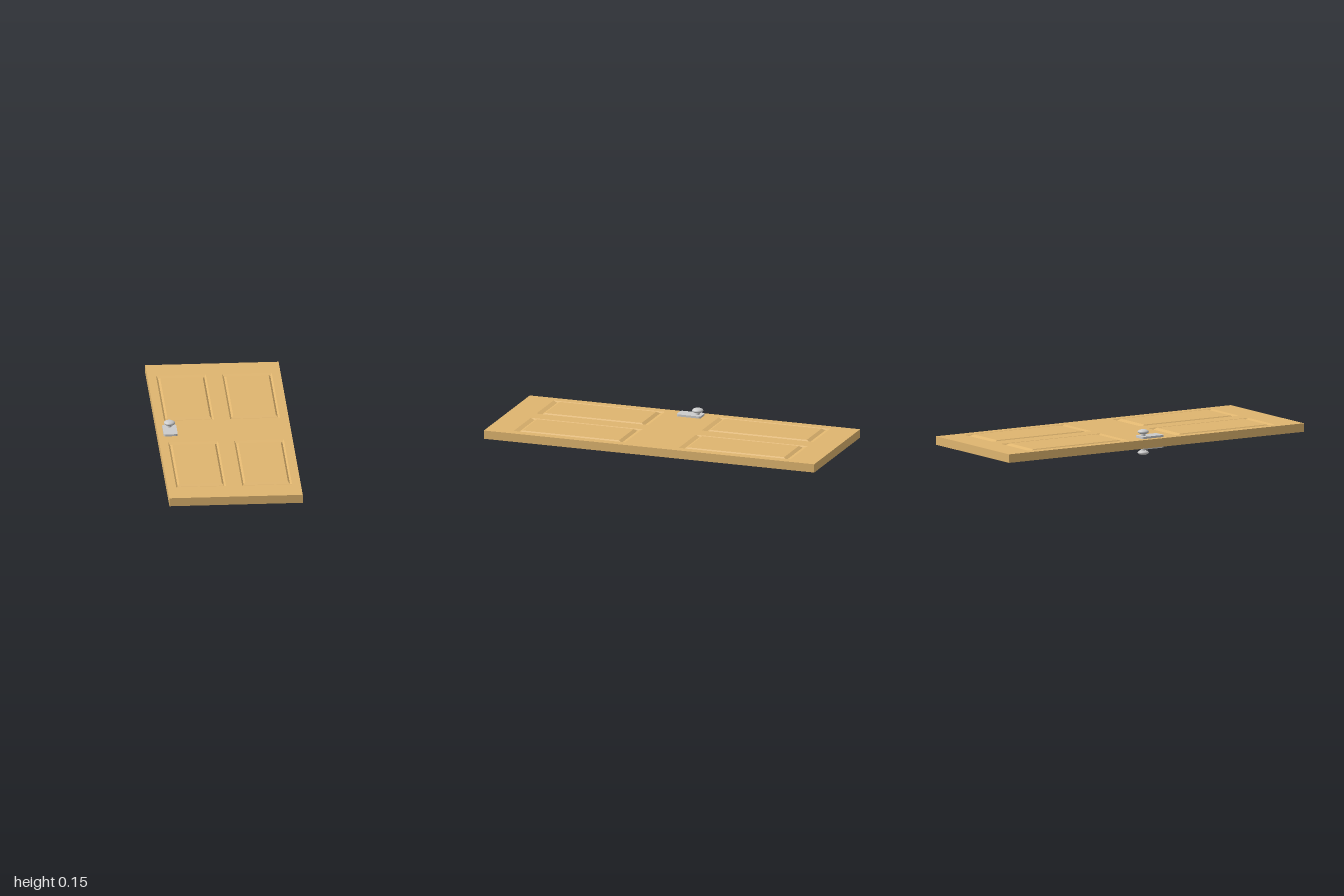
import * as THREE from 'three';

const W = 0.38, D = 1, T = 0.0245, MID = 0.074; // half width, half length, half thickness, mid height
const OUT = [0.142, 0.338]; // half size of a panel opening

// Surface through rectangles [halfX, halfZ, y], optionally closed by the last one
function rectLoft(rings, cap) {
  const pos = [];
  const corner = ([x, z, y], i) => [[-x, y, z], [x, y, z], [x, y, -z], [-x, y, -z]][i % 4];
  const quad = (a, b, c, d) => pos.push(...a, ...b, ...c, ...a, ...c, ...d);
  for (let r = 0; r < rings.length - 1; r++)
    for (let i = 0; i < 4; i++)
      quad(corner(rings[r], i), corner(rings[r], i + 1), corner(rings[r + 1], i + 1), corner(rings[r + 1], i));
  if (cap) {
    const last = rings[rings.length - 1];
    quad(corner(last, 0), corner(last, 1), corner(last, 2), corner(last, 3));
  }
  const g = new THREE.BufferGeometry();
  g.setAttribute('position', new THREE.Float32BufferAttribute(pos, 3));
  g.computeVertexNormals();
  return g;
}

function rectPath(path, cx, cy, hx, hy) {
  path.moveTo(cx - hx, cy - hy);
  path.lineTo(cx + hx, cy - hy);
  path.lineTo(cx + hx, cy + hy);
  path.lineTo(cx - hx, cy + hy);
  path.closePath();
  return path;
}

function add(parent, name, geometry, material) {
  const mesh = new THREE.Mesh(geometry, material);
  mesh.name = name;
  parent.add(mesh);
  return mesh;
}

export function createModel() {
  const model = new THREE.Group();
  model.name = 'panelDoor';
  const wood = new THREE.MeshStandardMaterial({ color: 0xdfb56f });
  const metal = new THREE.MeshStandardMaterial({ color: 0xcccccc });
  const centres = [[-0.188, -0.5], [0.188, -0.5], [-0.188, 0.5], [0.188, 0.5]];

  // Four narrow edges of the slab
  add(model, 'doorEdges', rectLoft([[W, D, -T], [W, D, T]], false), wood).position.y = MID;

  // Flat frame with four openings
  const frame = rectPath(new THREE.Shape(), 0, 0, W, D);
  for (const [x, z] of centres) frame.holes.push(rectPath(new THREE.Path(), x, z, ...OUT));
  const frameGeo = new THREE.ShapeGeometry(frame).rotateX(-Math.PI / 2).translate(0, T, 0);

  // Panel: moulding slopes into a groove, then up to a slightly proud field
  const panelGeo = rectLoft([
    [...OUT, T],
    [0.132, 0.312, T - 0.008],
    [0.121, 0.292, T + 0.002],
  ], true);

  // Rounded lock plate
  const px = 0.04, pz = 0.073, r = 0.013;
  const plate = new THREE.Shape();
  plate.absarc(px - r, pz - r, r, 0, Math.PI / 2);
  plate.absarc(-px + r, pz - r, r, Math.PI / 2, Math.PI);
  plate.absarc(-px + r, -pz + r, r, Math.PI, Math.PI * 1.5);
  plate.absarc(px - r, -pz + r, r, Math.PI * 1.5, Math.PI * 2);
  const plateGeo = new THREE.ExtrudeGeometry(plate, { depth: 0.012, bevelEnabled: false, curveSegments: 4 })
    .rotateX(-Math.PI / 2).translate(0, T, 0);

  const neckGeo = new THREE.CylinderGeometry(0.012, 0.012, 0.016, 20, 1, true).translate(0, T + 0.018, 0);
  const knobGeo = new THREE.SphereGeometry(0.032, 28, 16).scale(1, 0.44, 1).translate(0, 0.074 - 0.0141, 0);

  // Both faces are alike: the lower one is turned half a turn about z
  for (const side of ['upper', 'lower']) {
    const turn = side === 'upper' ? 0 : Math.PI;

    const face = new THREE.Group();
    face.name = side + 'Face';
    face.position.y = MID;
    face.rotation.z = turn;
    add(face, 'frame', frameGeo, wood);
    for (const [x, z] of centres) add(face, 'panel', panelGeo, wood).position.set(x, 0, z);

    const handle = new THREE.Group();
    handle.name = side + 'Handle';
    handle.position.set(-0.308, MID, 0);
    handle.rotation.z = turn;
    add(handle, 'lockPlate', plateGeo, metal);
    add(handle, 'knobNeck', neckGeo, metal).position.z = -0.043;
    add(handle, 'knob', knobGeo, metal).position.z = -0.043;

    model.add(face, handle);
  }
  return model;
}
